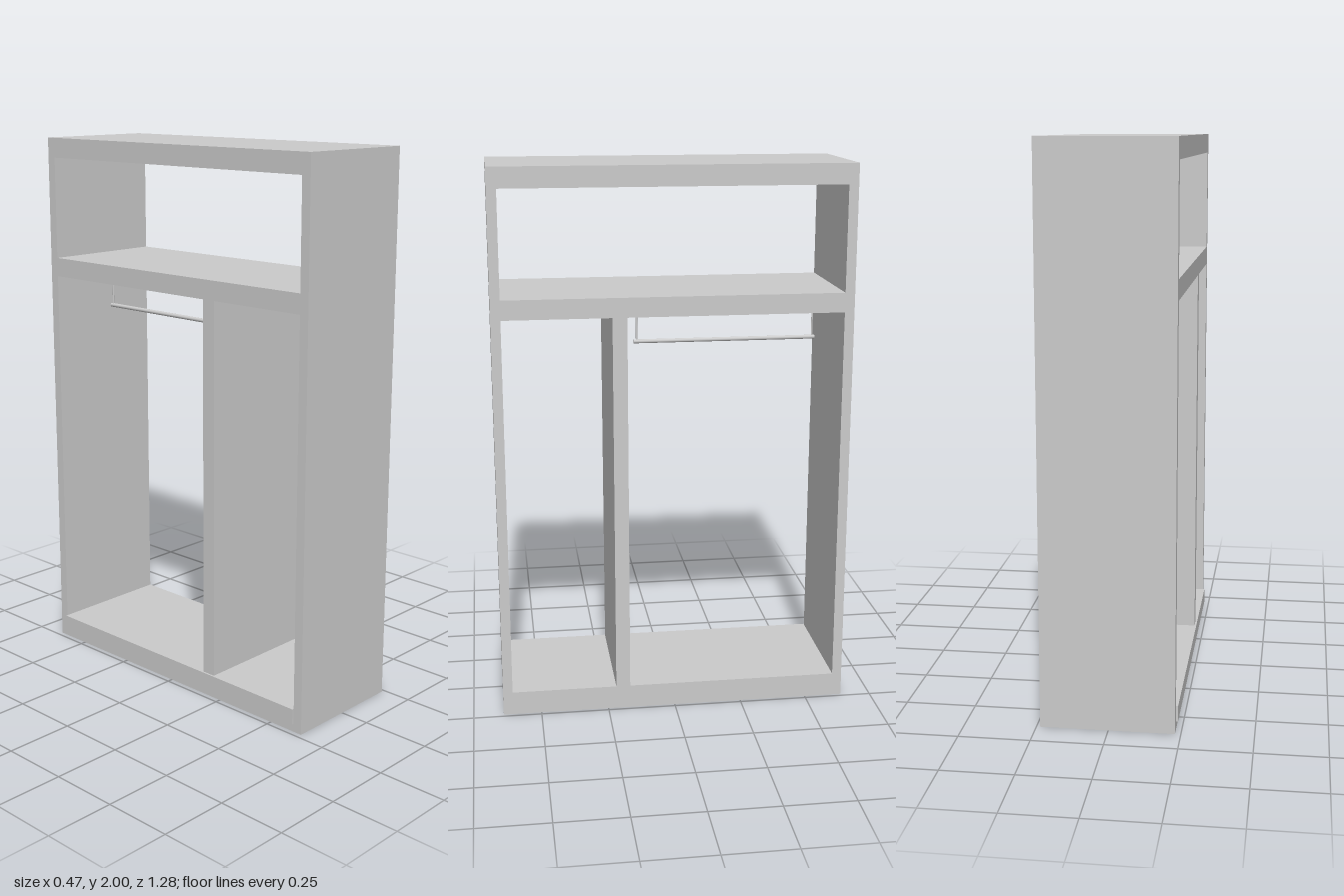
import * as THREE from 'three';

const material = new THREE.MeshStandardMaterial({ color: 0xcccccc });

export function createModel() {
  const group = new THREE.Group();

  const add = (name, geometry, x, y, z) => {
    const mesh = new THREE.Mesh(geometry, material);
    mesh.name = name;
    mesh.position.set(x, y, z);
    group.add(mesh);
    return mesh;
  };

  // Box given by its limits on each axis
  const panel = (name, [x0, x1], [y0, y1], [z0, z1]) =>
    add(name, new THREE.BoxGeometry(x1 - x0, y1 - y0, z1 - z0),
      (x0 + x1) / 2, (y0 + y1) / 2, (z0 + z1) / 2);

  // Open-through carcass
  const depth = [-0.23, 0.237];
  const inner = [-0.605, 0.605];
  panel('leftSidePanel', depth, [0, 2], [0.605, 0.64]);
  panel('rightSidePanel', depth, [0, 2], [-0.64, -0.605]);
  panel('base', depth, [0, 0.087], inner);
  panel('shelf', depth, [1.48, 1.55], inner);
  panel('top', depth, [1.927, 2], inner);
  panel('divider', depth, [0.087, 1.48], [0.168, 0.22]);

  // Thin plinth strip along the lower edge
  panel('plinthStrip', [-0.237, -0.23], [0.03, 0.087], inner);

  // Clothes rail hung below the shelf
  const rail = add('clothesRail', new THREE.CylinderGeometry(0.0075, 0.0075, 0.675, 16), 0, 1.347, -0.217);
  rail.rotation.x = Math.PI / 2;
  for (const z of [0.11, -0.545]) {
    add('railHanger', new THREE.CylinderGeometry(0.003, 0.003, 0.13, 12), 0, 1.415, z);
    add('hangerCollar', new THREE.CylinderGeometry(0.0075, 0.004, 0.02, 12), 0, 1.47, z);
  }

  return group;
}
